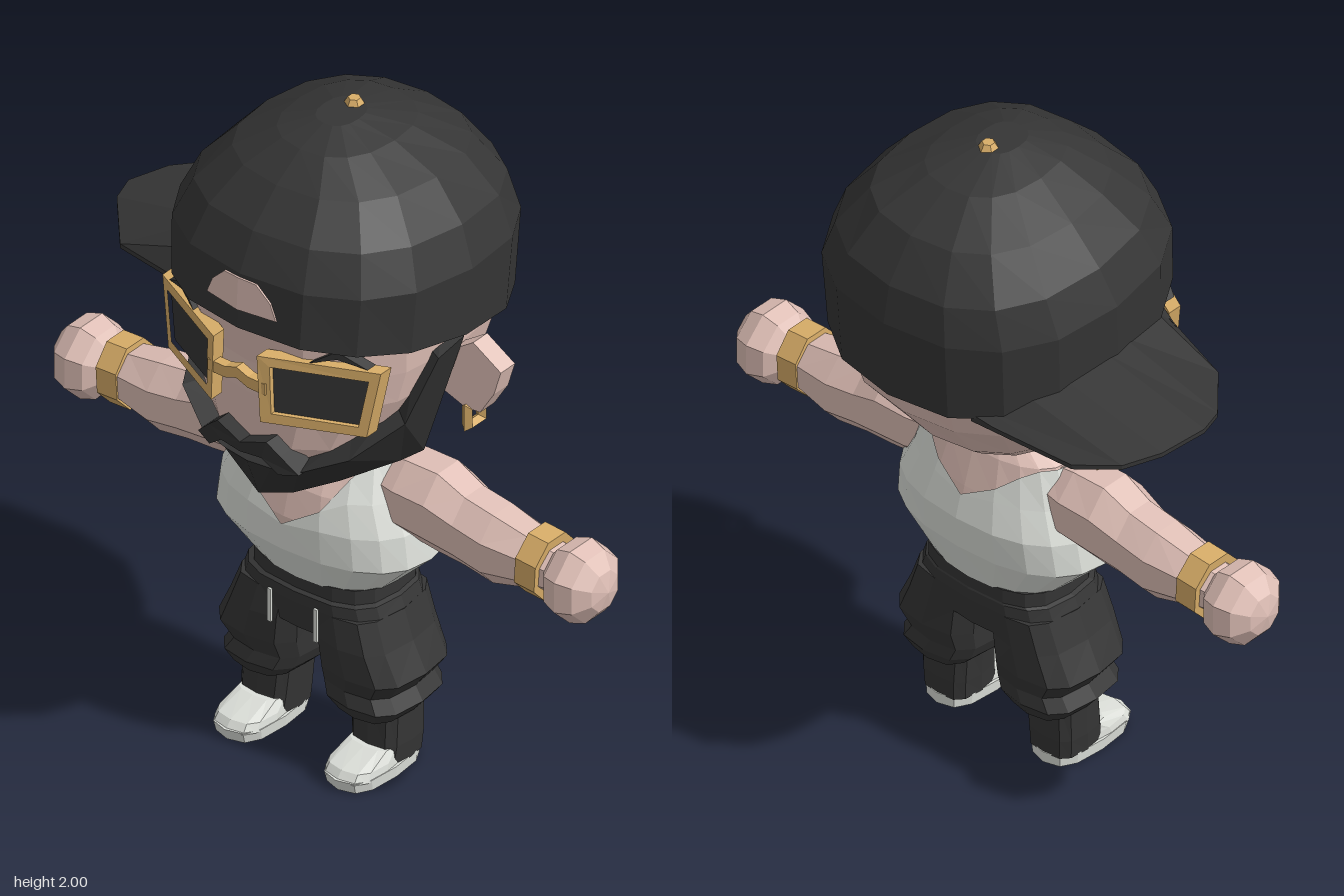
import * as THREE from 'three';

const mat = (name, color, side = THREE.FrontSide) => {
  const m = new THREE.MeshStandardMaterial({ color, side });
  m.name = name;
  return m;
};

// Faceted normals
function facet(geo) {
  const g = geo.index ? geo.toNonIndexed() : geo;
  g.computeVertexNormals();
  return g;
}

// Skin over a list of equal-sized closed rings; faces are turned outward by signed volume
function loft(rings, caps = true) {
  const tris = [];
  const n = rings[0].length;
  for (let i = 0; i < rings.length - 1; i++) {
    for (let j = 0; j < n; j++) {
      const k = (j + 1) % n, a = rings[i], b = rings[i + 1];
      tris.push([a[j], b[j], b[k]], [a[j], b[k], a[k]]);
    }
  }
  if (caps) {
    const first = rings[0], last = rings[rings.length - 1];
    for (let j = 1; j < n - 1; j++) {
      tris.push([first[0], first[j], first[j + 1]], [last[0], last[j + 1], last[j]]);
    }
  }
  const v = (p) => new THREE.Vector3(...p);
  let volume = 0;
  for (const [a, b, c] of tris) volume += v(a).dot(v(b).cross(v(c)));
  if (volume < 0) tris.forEach((t) => t.reverse());
  const geo = new THREE.BufferGeometry();
  geo.setAttribute('position', new THREE.Float32BufferAttribute(tris.flat(2), 3));
  return facet(geo);
}

// Horizontal rounded ring: half width, front z, back z; tilt lowers the back
function ring(y, hx, zf, zb, { n = 16, p = 2.4, cx = 0, tilt = 0 } = {}) {
  const pow = (t) => Math.sign(t) * Math.abs(t) ** (2 / p);
  return Array.from({ length: n }, (_, i) => {
    const a = (i / n) * Math.PI * 2;
    const k = pow(Math.sin(a));
    return [cx + hx * pow(Math.cos(a)), y - tilt * (1 - k) / 2, (zf + zb) / 2 + k * (zf - zb) / 2];
  });
}

// Extruded outline with an optional hole, its z moved by a rule
function plate(points, depth, zRule, hole) {
  const vec = (list) => list.map((q) => new THREE.Vector2(...q));
  const shape = new THREE.Shape(vec(points));
  if (hole) shape.holes.push(new THREE.Path(vec(hole)));
  const geo = new THREE.ExtrudeGeometry(shape, { depth, bevelEnabled: false });
  const pos = geo.attributes.position;
  for (let i = 0; i < pos.count; i++) pos.setZ(i, pos.getZ(i) + zRule(pos.getX(i), pos.getY(i)));
  return facet(geo);
}

export function createModel() {
  const skin = mat('skin', 0xe0c0b7);
  const black = mat('blackCloth', 0x353535);
  const hair = mat('blackHair', 0x303030);
  const white = mat('whiteCloth', 0xdde0da, THREE.DoubleSide);
  const gold = mat('gold', 0xd8ad68);
  const lensMat = mat('darkLens', 0x343434);

  const model = new THREE.Group();
  const add = (name, geo, material) => {
    const m = new THREE.Mesh(geo, material);
    m.name = name;
    model.add(m);
    return m;
  };

  // Head
  add('head', loft([
    [1.03, .13, .25, -.10], [1.08, .24, .385, -.20], [1.13, .28, .40, -.26], [1.28, .365, .41, -.38],
    [1.38, .39, .41, -.41], [1.5, .40, .425, -.415], [1.7, .36, .38, -.38],
  ].map((r) => ring(...r))), skin);

  // Cap crown, button and front opening
  add('capCrown', loft([
    [1.51, .43, .455, -.44, .14], [1.68, .44, .445, -.457, .06], [1.79, .39, .39, -.435, .055],
    [1.885, .295, .29, -.35, .028], [1.95, .165, .19, -.21, .01], [1.983, .06, .09, -.06, 0],
  ].map(([y, hx, zf, zb, tilt]) => ring(y, hx, zf, zb, { tilt }))), black);
  const button = new THREE.CylinderGeometry(.018, .036, .03, 6);
  button.translate(0, 1.985, -.04);
  add('capButton', facet(button), gold);
  for (const s of [1, -1]) {
    const half = [[0, 1.57], [.12, 1.57], [.1, 1.62], [.055, 1.665], [0, 1.67]];
    add('capOpening', plate(half.map(([x, y]) => [s * x, y]), .006,
      (x, y) => .456 - (y - 1.51) * .06 - Math.abs(x) * .165), skin);
  }

  // Brim turned to the right side: z, outer x, outer y, inner x, inner y
  add('capBrim', loft([
    [-.37, -.32, 1.385, -.24, 1.39], [-.34, -.58, 1.375, -.28, 1.40], [-.26, -.69, 1.385, -.35, 1.44],
    [-.16, -.745, 1.40, -.39, 1.465], [-.02, -.77, 1.415, -.40, 1.485], [.06, -.745, 1.412, -.40, 1.49],
    [.21, -.61, 1.395, -.37, 1.485], [.265, -.40, 1.42, -.33, 1.48],
  ].map(([z, xo, yo, xi, yi]) => [[xi, yi, z], [xo, yo, z], [xo, yo - .014, z], [xi, yi - .025, z]])), black);

  // Beard: upper edge, lower edge and hidden inner edges, from left sideburn to chin and mirrored
  const beardHalf = [
    [[.408, 1.40, .10], [.415, 1.425, 0]],
    [[.365, 1.215, .19], [.345, 1.07, .085]],
    [[.29, 1.14, .335], [.30, 1.04, .13]],
    [[.165, 1.08, .40], [.19, .99, .25]],
    [[.08, 1.065, .41], [.09, .95, .33]],
    [[0, 1.06, .415], [0, .93, .365]],
  ].map(([u, l]) => {
    const inner = ([x, y, z]) => [x * .8, y + .02, z * .75];
    return [u, l, inner(l), inner(u)];
  });
  const beardMirror = beardHalf.slice(0, -1).reverse().map((r) => r.map(([x, y, z]) => [-x, y, z]));
  add('beard', loft([...beardHalf, ...beardMirror]), hair);

  // Sunglasses lie on two planes swept back from the bridge
  const sweep = (x) => .455 - .517 * Math.max(0, Math.abs(x) - .08);
  add('glassesBridge', plate([[-.1, 1.335], [-.1, 1.37], [-.04, 1.37], [0, 1.385], [.04, 1.37], [.1, 1.37],
    [.1, 1.335], [.04, 1.335], [0, 1.35], [-.04, 1.335]], .03, () => .43), gold);

  for (const s of [1, -1]) {
    const side = (list) => list.map(([x, y]) => [s * x, y]);
    const opening = side([[.35, 1.415], [.108, 1.425], [.112, 1.275], [.325, 1.265]]);
    add('glassesFrame', plate(side([[.38, 1.445], [.075, 1.455], [.085, 1.245], [.345, 1.235]]), .045,
      (x) => sweep(x) - .035, opening), gold);
    add('lens', plate(opening, .008, (x) => sweep(x) - .012), lensMat);
    add('eyebrow', plate(side([[.345, 1.45], [.27, 1.497], [.2, 1.45], [.27, 1.472]]), .035,
      (x) => sweep(x) - .03), hair);
    add('moustache', plate(side([[0, 1.135], [.085, 1.165], [.125, 1.13], [.175, 1.08], [.12, 1.07],
      [.07, 1.11], [0, 1.105]]), .07, (x) => .375 - 1.2 * x * x), hair);

    // Ear and square earring
    add('ear', plate(side([[.36, 1.36], [.445, 1.415], [.525, 1.34], [.505, 1.265], [.465, 1.195], [.42, 1.2],
      [.34, 1.25]]), .06, (x) => -.02 - .25 * (Math.abs(x) - .4)), skin).position.z = -.03;
    const earring = new THREE.TorusGeometry(.042, .018, 4, 4);
    earring.rotateZ(Math.PI / 4).rotateY(Math.PI / 2).translate(s * .425, 1.168, -.03);
    add('earring', facet(earring), gold);

    // Arm, bracelet and fist
    add('arm', loft([
      [.19, .90, .09, .09], [.28, .89, .12, .11], [.39, .885, .128, .11], [.48, .86, .112, .098],
      [.58, .845, .112, .1], [.69, .848, .085, .085], [.8, .845, .065, .065],
    ].map(([x, y, ry, rz]) => Array.from({ length: 8 }, (_, i) => {
      const a = (i + .5) / 8 * Math.PI * 2;
      return [s * x, y + ry * 1.05 * Math.sin(a), .038 + rz * 1.05 * Math.cos(a)];
    }))), skin);
    const band = new THREE.CylinderGeometry(1, 1, .07, 8);
    band.rotateY(Math.PI / 8).rotateZ(Math.PI / 2).scale(1, .104, .094).rotateZ(s * -.06);
    band.translate(s * .728, .848, .038);
    add('bracelet', facet(band), gold);
    const fist = new THREE.SphereGeometry(1, 8, 6);
    fist.rotateY(Math.PI / 8).rotateZ(Math.PI / 2).scale(.097, .124, .122).translate(s * .852, .84, .038);
    add('fist', facet(fist), skin);

    // Shorts leg: y, inner x, outer x, front z, back z
    add('shortsLeg', loft([
      [.5, .015, .245, .21, -.115], [.41, .025, .28, .218, -.115], [.32, .028, .325, .215, -.115],
      [.265, .03, .285, .195, -.1], [.225, .045, .312, .205, -.105], [.185, .085, .28, .185, -.085],
    ].map(([y, xi, xo, zf, zb]) => ring(y, (xo - xi) / 2, zf, zb, { n: 12, p: 3, cx: s * (xi + xo) / 2 }))), black);
    const cord = new THREE.BoxGeometry(.012, .105, .008);
    cord.translate(s * .08, .46, .221);
    add('drawstring', facet(cord), white);

    // High shoe with pale sole and toe
    const foot = (rows, p) => loft(rows.map(([y, hx, zf, zb, cx = .193]) =>
      ring(y, hx, zf, zb, { n: 12, p, cx: s * cx })));
    add('shoeShaft', foot([[.03, .08, .15, -.033], [.09, .085, .14, -.035], [.22, .09, .13, -.035, .187]], 3.2), black);
    add('sole', foot([[0, .082, .265, -.035], [.035, .085, .275, -.037]], 2.8), white);
    add('toeCap', foot([[.03, .081, .27, .04], [.055, .078, .25, .04], [.085, .07, .155, .05]], 3), white);
  }

  // Torso and neck
  const body = [
    [.575, .21, .195, -.11], [.70, .335, .26, -.152], [.80, .32, .26, -.16], [.89, .275, .235, -.135],
    [1.0, .235, .165, -.10],
  ];
  const torsoRings = body.map((r) => ring(...r, { n: 20 }));
  add('torso', loft([...torsoRings, ring(1.05, .15, .12, -.07, { n: 20 }), ring(1.1, .11, .1, -.06, { n: 20 })]), skin);

  // Tank top: the torso rings grown a little and cut off at the neckline
  const grown = body.map(([y, hx, zf, zb]) => ring(y, hx + .01, zf + .01, zb - .01, { n: 20 }));
  const cut = (j) => {
    const a = (j / 20) * Math.PI * 2, c = Math.abs(Math.cos(a));
    return Math.min(1.0, Math.sin(a) > 0 ? .78 + .34 * c ** 1.3 : .87 + .18 * c);
  };
  const clipped = grown.map((r, i) => r.map((pt, j) => {
    const top = cut(j);
    if (pt[1] <= top) return pt;
    let k = i;
    while (grown[k - 1][j][1] > top) k--;
    const lo = grown[k - 1][j], hi = grown[k][j], t = (top - lo[1]) / (hi[1] - lo[1]);
    return lo.map((q, m) => q + (hi[m] - q) * t);
  }));
  add('tankTop', loft(clipped, false), white);

  // Shorts hips and waistband
  add('shortsHips', loft([
    [.585, .222, .205, -.12], [.54, .222, .205, -.12], [.535, .235, .217, -.122], [.50, .248, .217, -.122],
    [.41, .2, .2, -.105],
  ].map((r) => ring(...r, { n: 16, p: 3 }))), black);

  return model;
}
